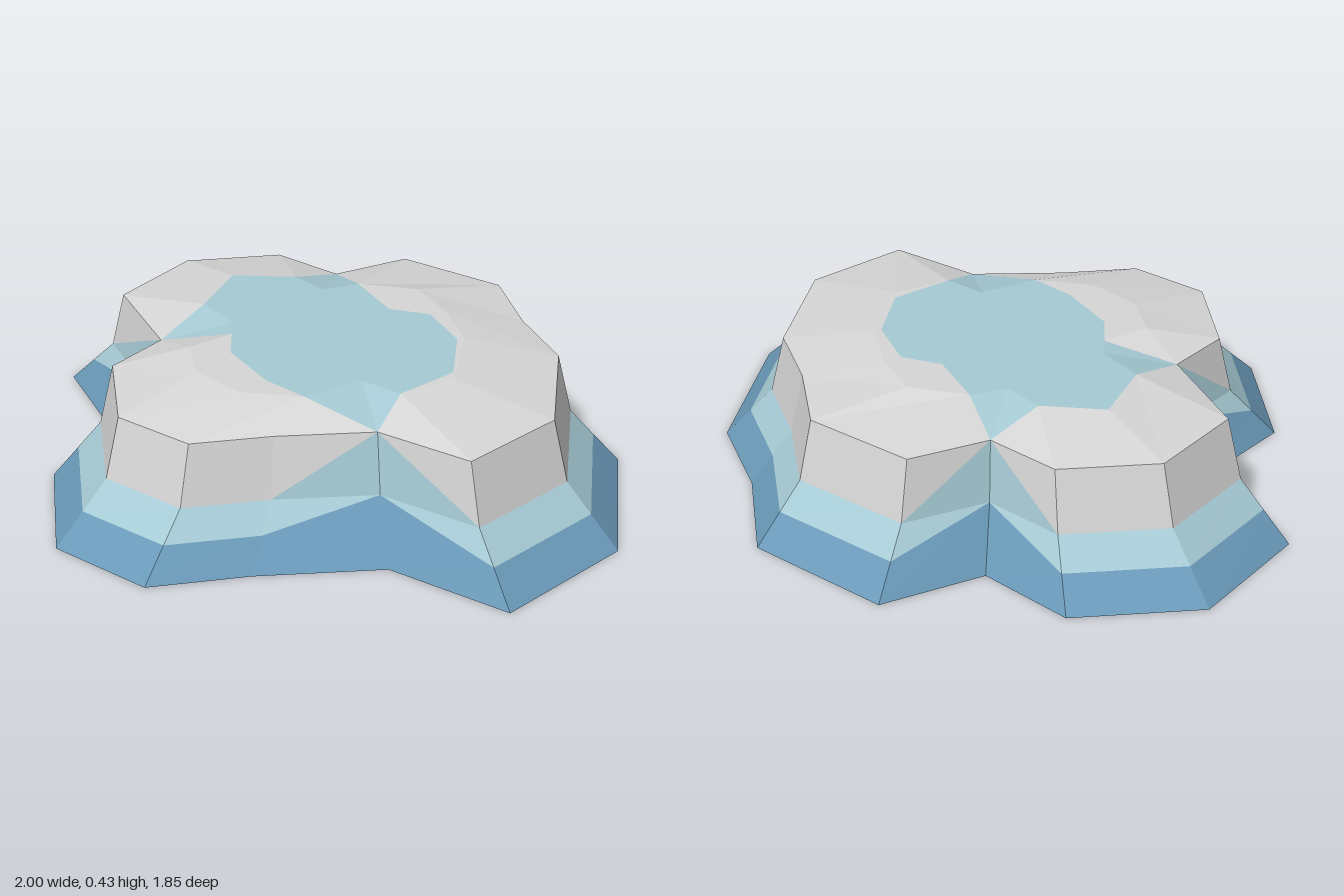
import * as THREE from 'three';

const notches = [1, 8, 13]; // places where water spills over the rim
const isNotch = (i) => notches.includes(i);

// Outlines as [x, z], running clockwise seen from above
const footOutline = [
  [-0.44, -0.825], [-0.15, -0.69], [0.11, -0.925], [0.57, -0.755],
  [0.73, -0.42], [0.93, -0.16], [1, 0.38], [0.735, 0.785],
  [0.34, 0.65], [-0.05, 0.785], [-0.345, 0.92], [-0.675, 0.785],
  [-0.835, 0.38], [-0.705, 0.115], [-1, -0.255], [-0.835, -0.66],
];
const rimOutline = [
  [-0.345, -0.625], [-0.115, -0.525], [0.09, -0.7], [0.445, -0.575],
  [0.57, -0.33], [0.72, -0.12], [0.77, 0.29], [0.57, 0.59],
  [0.265, 0.49], [-0.03, 0.59], [-0.265, 0.695], [-0.52, 0.595],
  [-0.645, 0.29], [-0.55, 0.085], [-0.775, -0.195], [-0.645, -0.5],
];
const plateauOutline = [
  [-0.22, -0.37], [-0.1, -0.3], [0, -0.37], [0.2, -0.38],
  [0.32, -0.25], [0.42, -0.08], [0.44, 0.2], [0.3, 0.33],
  [0.165, 0.28], [0.02, 0.42], [-0.18, 0.44], [-0.345, 0.35],
  [-0.42, 0.2], [-0.33, 0], [-0.46, -0.1], [-0.43, -0.33],
];
const pondOutline = [
  [-0.22, -0.37], [-0.1, -0.3], [0, -0.37], [0.14, -0.215],
  [0.28, -0.21], [0.4, -0.06], [0.43, 0.16], [0.3, 0.33],
  [0.165, 0.28], [0.02, 0.42], [-0.12, 0.35], [-0.28, 0.2],
  [-0.31, 0.08], [-0.33, 0], [-0.46, -0.1], [-0.43, -0.33],
];

const ring = (outline, y, scale = 1) =>
  outline.map(([x, z]) => new THREE.Vector3(x * scale, y, z * scale));

// Collects triangles and turns them into one flat-shaded mesh
class Facets {
  constructor() { this.points = []; }
  tri(a, b, c) {
    if (new THREE.Triangle(a, b, c).getArea() > 1e-6) this.points.push(a, b, c);
  }
  quad(outer, inner, i, j) {
    this.tri(outer[i], inner[i], outer[j]);
    this.tri(inner[i], inner[j], outer[j]);
  }
  mesh(name, material) {
    const geometry = new THREE.BufferGeometry().setFromPoints(this.points);
    geometry.computeVertexNormals();
    const mesh = new THREE.Mesh(geometry, material);
    mesh.name = name;
    return mesh;
  }
}

function makeMaterial(name, color) {
  const material = new THREE.MeshStandardMaterial({ color, flatShading: true, side: THREE.DoubleSide });
  material.name = name;
  return material;
}

export function createModel() {
  const stone = makeMaterial('stone grey', 0xd6d6d6);
  const shallow = makeMaterial('shallow water', 0xa6cad4);
  const deep = makeMaterial('deep water', 0x6a99b8);

  const foot = ring(footOutline, 0);
  const shoulder = ring(rimOutline, 0.18, 1.068);
  const rim = ring(rimOutline, 0.38);
  const plateau = ring(plateauOutline, 0.43);
  const pond = ring(pondOutline, 0.43);
  const centre = new THREE.Vector3(0, 0.43, 0);
  // Deep colour climbs to the shoulder at each notch
  const waterline = foot.map((p, i) => p.clone().lerp(shoulder[i], isNotch(i) ? 1 : 0.53));

  const skirt = new Facets(), band = new Facets(), falls = new Facets();
  const cliff = new Facets(), cap = new Facets(), pool = new Facets();

  for (let i = 0; i < foot.length; i++) {
    const j = (i + 1) % foot.length;
    skirt.quad(foot, waterline, i, j);
    band.quad(waterline, shoulder, i, j);
    pool.tri(pond[i], centre, pond[j]);

    if (isNotch(j)) {
      falls.tri(shoulder[i], rim[j], shoulder[j]);
      cliff.tri(shoulder[i], rim[i], rim[j]);
      cap.tri(rim[i], plateau[i], rim[j]);
      cap.tri(rim[j], plateau[i], pond[i]);
      pool.tri(rim[j], pond[i], pond[j]);
    } else if (isNotch(i)) {
      falls.tri(shoulder[i], rim[i], shoulder[j]);
      cliff.tri(rim[i], rim[j], shoulder[j]);
      cap.tri(rim[i], plateau[j], rim[j]);
      cap.tri(rim[i], pond[j], plateau[j]);
      pool.tri(rim[i], pond[i], pond[j]);
    } else {
      cliff.quad(shoulder, rim, i, j);
      cap.quad(rim, plateau, i, j);
      cap.quad(plateau, pond, i, j);
    }
  }

  const group = new THREE.Group();
  group.name = 'rockPool';
  group.add(
    skirt.mesh('deepWaterSkirt', deep),
    band.mesh('shallowWaterBand', shallow),
    falls.mesh('waterfalls', shallow),
    cliff.mesh('stoneCliff', stone),
    cap.mesh('stoneTop', stone),
    pool.mesh('pond', shallow),
  );
  return group;
}
